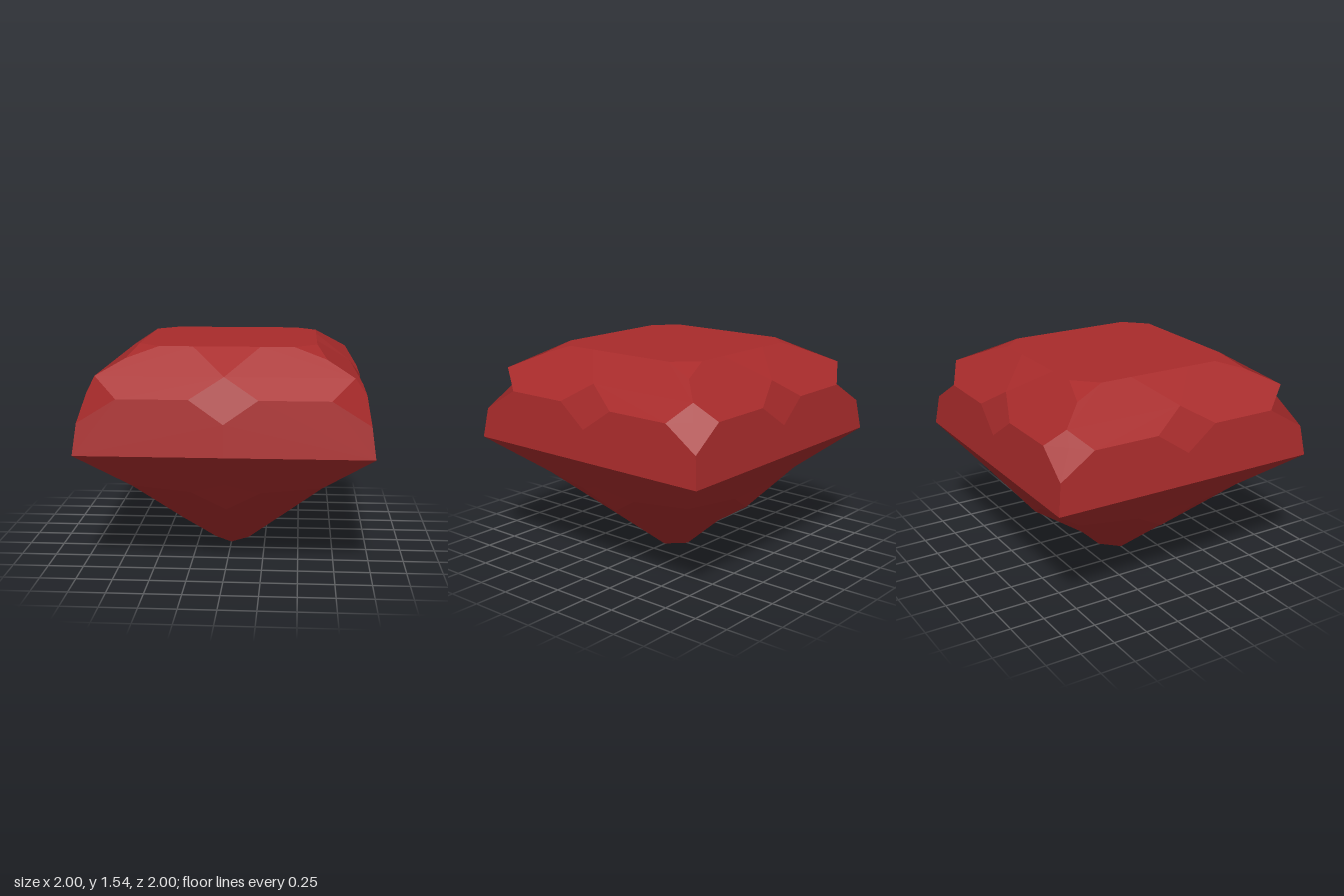
import * as THREE from 'three';

// Key points of one eighth of the stone (0 <= x <= z)
const P = {
  // table
  top: [0, 1.54, 0], t0: [0, 1.54, 0.615], t: [0.23, 1.54, 0.615],
  c: [0.46, 1.54, 0.615], cm: [0.5375, 1.54, 0.5375],
  // crown
  E: [0.68, 1.465, 0.68], C: [0.86, 1.37, 0.86], M: [0, 1.37, 0.86],
  m: [0.23, 1.23, 0.95], a: [0.71, 1.23, 0.95], ab: [0.83, 1.23, 0.83],
  B: [0, 1.07, 0.971], D: [0.971, 1.07, 0.971],
  // girdle
  g0: [0, 0.855, 1], g: [1, 0.855, 1],
  // pavilion
  N: [0, 0.64, 0.86], s: [0.24, 0.55, 0.74], G: [0.66, 0.57, 0.66],
  K: [0, 0.41, 0.665], F: [0.34, 0.25, 0.34], Q: [0, 0.19, 0.325],
  // culet
  v: [0, 0, 0.125], vm: [0.0625, 0, 0.0625], tip: [0, 0, 0],
};

// Each facet: its triangles, and whether it is centred on a side, on a corner or on neither
const FACETS = {
  table: ['top t0 t, top t c, top c cm', 'side'],
  crownStarFacets: ['t0 t M', 'side'],
  crownCornerStarFacets: ['c cm E', 'corner'],
  crownMainFacets: ['t M C, t C c, c C E, M m a, M a C', 'free'],
  crownKiteFacets: ['M m B', 'side'],
  crownCornerKiteFacets: ['a C ab, a ab D', 'corner'],
  upperGirdleFacets: ['a D g, m a g, m g B, B g g0', 'side'],
  lowerGirdleFacets: ['g0 g N, g G N, N G s', 'side'],
  pavilionKiteFacets: ['N s K', 'side'],
  pavilionMainFacets: ['s G K, K G F, K F Q', 'side'],
  culetFacets: ['Q F v, F vm v', 'corner'],
  culet: ['tip v vm', 'side'],
};

const CORE = new THREE.Vector3(0, 0.8, 0);
const UP = new THREE.Vector3(0, 1, 0);

// Corners of a triangle, ordered so that it faces outward
function outwardTriangle(keys) {
  const corners = keys.split(' ').map((key) => new THREE.Vector3(...P[key]));
  const face = new THREE.Triangle(...corners);
  const outward = face.getMidpoint(new THREE.Vector3()).sub(CORE);
  return face.getNormal(new THREE.Vector3()).dot(outward) < 0 ? corners.reverse() : corners;
}

// One even normal for the whole facet, respecting its plane of symmetry
function facetNormal(triangles, centredOn) {
  const sum = new THREE.Vector3();
  for (const [a, b, c] of triangles) sum.add(b.clone().sub(a).cross(c.clone().sub(a)));
  if (centredOn === 'side') sum.x = 0;
  if (centredOn === 'corner') sum.x = sum.z = (sum.x + sum.z) / 2;
  return sum.normalize();
}

// Repeat the eighth by mirroring and quarter turns
function facetGeometry(list, centredOn) {
  const triangles = list.split(', ').map(outwardTriangle);
  const normal = facetNormal(triangles, centredOn);
  const positions = [];
  const normals = [];
  for (let quarter = 0; quarter < 4; quarter++) {
    for (const mirror of [1, -1]) {
      const place = (p) => new THREE.Vector3(p.x * mirror, p.y, p.z)
        .applyAxisAngle(UP, quarter * Math.PI / 2).toArray();
      for (const triangle of triangles) {
        const corners = mirror > 0 ? triangle : [...triangle].reverse();
        for (const corner of corners) {
          positions.push(...place(corner));
          normals.push(...place(normal));
        }
      }
    }
  }
  const geometry = new THREE.BufferGeometry();
  geometry.setAttribute('position', new THREE.Float32BufferAttribute(positions, 3));
  geometry.setAttribute('normal', new THREE.Float32BufferAttribute(normals, 3));
  return geometry;
}

export function createModel() {
  const gem = new THREE.Group();
  gem.name = 'gem';
  const material = new THREE.MeshStandardMaterial({ color: 0xa82b2b });
  for (const [name, [list, centredOn]] of Object.entries(FACETS)) {
    const mesh = new THREE.Mesh(facetGeometry(list, centredOn), material);
    mesh.name = name;
    gem.add(mesh);
  }
  return gem;
}
